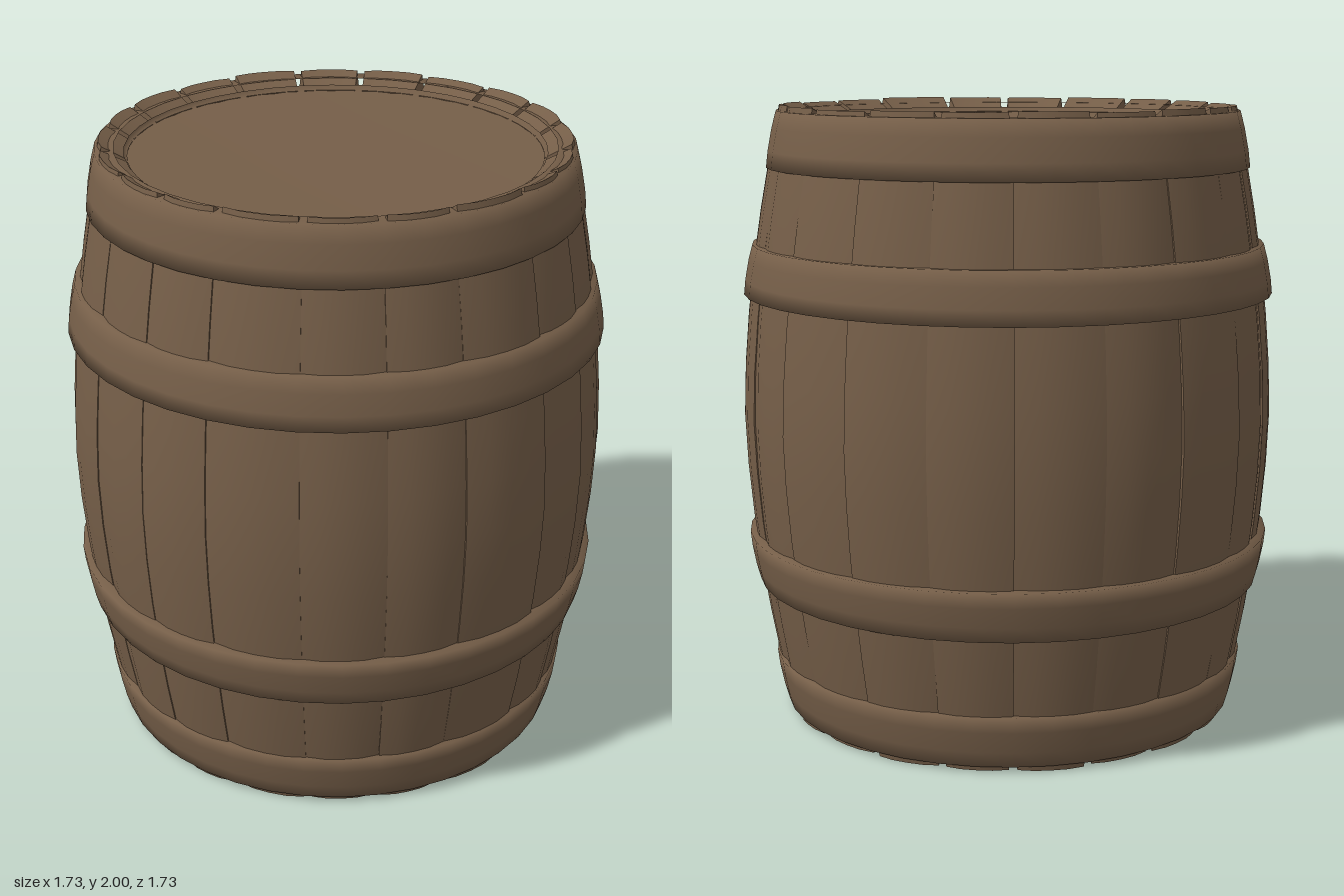
import * as THREE from 'three';

const COUNT = 20;
const wood = new THREE.MeshStandardMaterial({ color: 0x755e48 });
wood.name = 'brown wood';

// small seeded generator for hand-made unevenness
let seed = 7;
const rand = () => {
  seed = (seed * 16807) % 2147483647;
  return seed / 2147483647 - 0.5;
};

// outer radius of the barrel at height y
const radiusAt = (y) => 0.868 - 0.13 * Math.pow(Math.abs(y - 1), 1.7);

// one curved plank: x becomes the angle, y the height, z the radius
function makeStave(a0, a1) {
  const geo = new THREE.BoxGeometry(1, 1, 1, 4, 12, 1);
  const p = geo.attributes.position;
  const lift = rand() * 0.014, tilt = rand() * 0.024, drop = 0.004 + rand() * 0.008;
  for (let i = 0; i < p.count; i++) {
    const u = p.getX(i) + 0.5;
    const v = p.getY(i) * 2;
    const outer = p.getZ(i) > 0;
    // the ends are narrower, so notches open between neighbours
    const gap = Math.abs(v) > 0.95 ? 0.018 : 0;
    const a = a0 + gap + (a1 - a0 - 2 * gap) * u;
    const edge = Math.pow(Math.abs(2 * u - 1), 3);
    let r = radiusAt(1 + v);
    // the rim slopes down towards the inside
    let y = 1 + v * (1 - drop);
    if (outer) r += lift * (1 - Math.abs(v)) + tilt * (u - 0.5) - 0.01 * edge;
    else {
      r -= 0.09;
      y = 1 + v * 0.95;
    }
    p.setXYZ(i, r * Math.sin(a), y, r * Math.cos(a));
  }
  geo.computeVertexNormals();
  return new THREE.Mesh(geo, wood);
}

// rounded band from y0 to y1 wrapped around the staves
function makeHoop(y0, r0, y1, r1) {
  const h = y1 - y0;
  const points = [
    [r0 - 0.06, y0],
    [r0, y0],
    [r0 + (r1 - r0) * 0.3 + 0.004, y0 + h * 0.3],
    [r0 + (r1 - r0) * 0.7 + 0.004, y0 + h * 0.7],
    [r1, y1],
    [r1 - 0.06, y1],
  ].map(([r, y]) => new THREE.Vector2(r, y));
  return new THREE.Mesh(new THREE.LatheGeometry(points, COUNT * 2), wood);
}

// shallow lid just inside the rim, softly joined to the staves
function makeLid() {
  const points = [[0.66, 1.965], [0.648, 1.945], [0, 1.945]]
    .map(([r, y]) => new THREE.Vector2(r, y));
  return new THREE.Mesh(new THREE.LatheGeometry(points, COUNT * 2), wood);
}

export function createModel() {
  const barrel = new THREE.Group();
  barrel.name = 'barrel';

  // staves with slightly uneven widths
  const staves = new THREE.Group();
  staves.name = 'staves';
  const step = (Math.PI * 2) / COUNT;
  const edges = Array.from({ length: COUNT }, (_, i) => (i + rand() * 0.16) * step);
  edges.push(edges[0] + Math.PI * 2);
  for (let i = 0; i < COUNT; i++) {
    const stave = makeStave(edges[i], edges[i + 1]);
    stave.name = 'stave' + (i + 1);
    staves.add(stave);
  }
  barrel.add(staves);

  // four hoops, wider towards the middle
  const hoops = [
    ['bottomHoop', 0.02, 0.75, 0.19, 0.785],
    ['lowerHoop', 0.445, 0.835, 0.605, 0.865],
    ['upperHoop', 1.395, 0.865, 1.555, 0.835],
    ['topHoop', 1.8, 0.785, 1.98, 0.75],
  ];
  for (const [name, y0, r0, y1, r1] of hoops) {
    const hoop = makeHoop(y0, r0, y1, r1);
    hoop.name = name;
    barrel.add(hoop);
  }

  // matching lids at the top and the bottom
  const topLid = makeLid();
  topLid.name = 'topLid';
  const bottomLid = makeLid();
  bottomLid.name = 'bottomLid';
  bottomLid.rotation.x = Math.PI;
  bottomLid.position.y = 2;
  barrel.add(topLid, bottomLid);

  return barrel;
}
